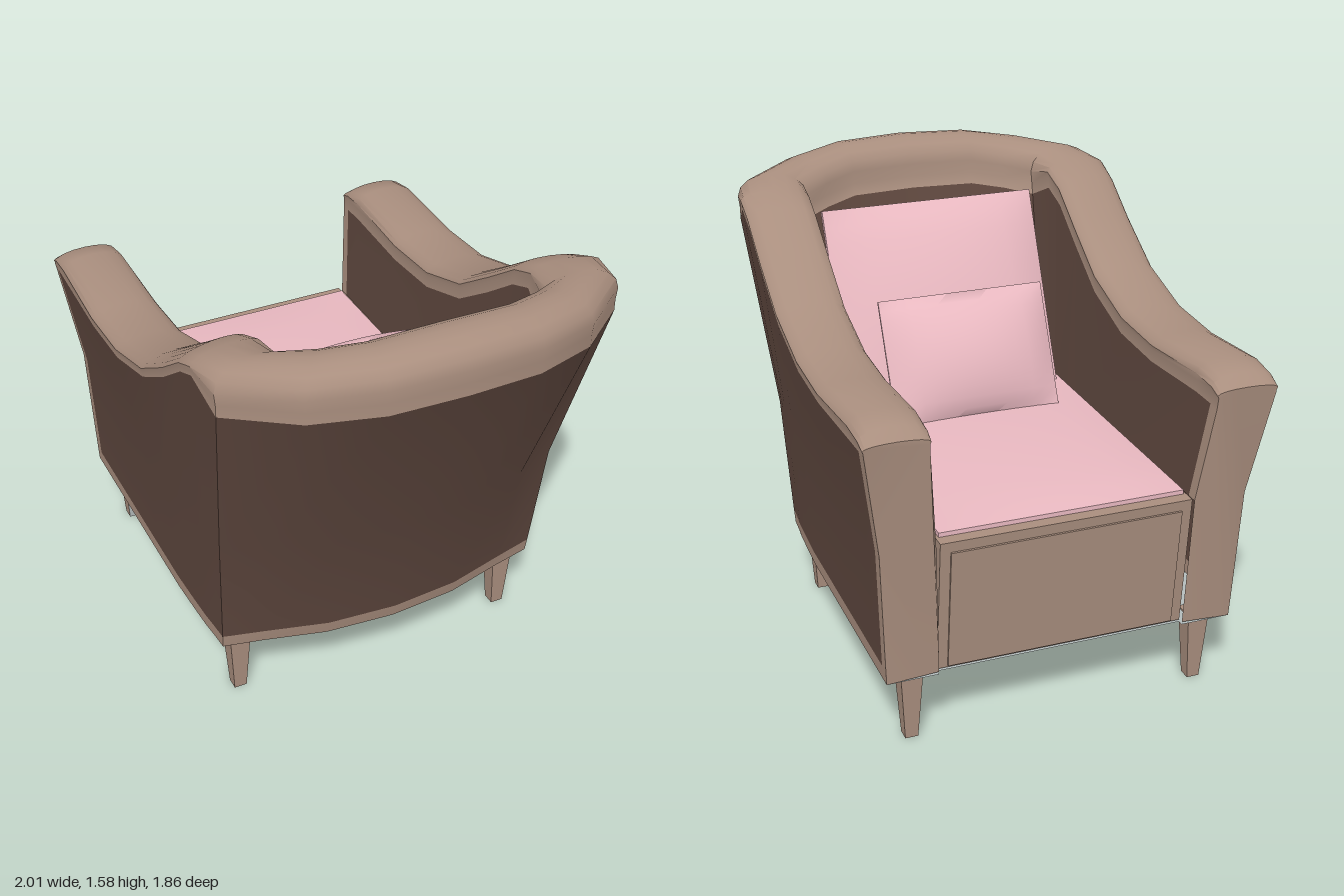
import * as THREE from 'three';
import { toCreasedNormals } from 'three/addons/utils/BufferGeometryUtils.js';

const mat = (color) => new THREE.MeshStandardMaterial({ color, side: THREE.DoubleSide });
const trim = mat(0xa98e7e), panel = mat(0x5e473e), fabric = mat(0xe8b8c0), grey = mat(0xb4bcbc);
const { lerp } = THREE.MathUtils;

// Half of the shell, from the arm front to the middle of the back:
// base x,z | top x,z | panel top, crown | inner lip x,z | inner base x,z
const half = [
  [.605, .71, .68, .785, 1.09, 1.12, .475, .785, .43, .71],
  [.605, .67, .682, .745, 1.09, 1.155, .473, .745, .43, .67],
  [.605, .58, .685, .65, 1.09, 1.175, .47, .65, .43, .58],
  [.605, .30, .69, .34, 1.08, 1.145, .465, .34, .43, .30],
  [.605, .07, .69, .10, 1.095, 1.16, .465, .10, .43, .07],
  [.605, -.12, .69, -.15, 1.17, 1.235, .465, -.13, .43, -.10],
  [.60, -.25, .69, -.35, 1.29, 1.36, .465, -.31, .425, -.22],
  [.595, -.35, .69, -.50, 1.40, 1.465, .465, -.46, .42, -.31],
  [.59, -.40, .69, -.59, 1.44, 1.505, .46, -.56, .42, -.36],
  [.585, -.47, .67, -.72, 1.37, 1.53, .44, -.67, .41, -.41],
  [.45, -.50, .47, -.89, 1.39, 1.55, .345, -.72, .33, -.45],
  [.24, -.555, .25, -.97, 1.405, 1.572, .23, -.77, .22, -.48],
  [0, -.575, 0, -.985, 1.41, 1.58, 0, -.775, 0, -.48],
];
const flip = ([bx, bz, tx, tz, p, c, ix, iz, jx, jz]) => [-bx, bz, -tx, tz, p, c, -ix, iz, -jx, jz];
const stations = [...half, ...half.slice(0, -1).reverse().map(flip)];

// One cross-section: up the outside, over the padded rim, down the inside
const ARC = 10, RIM = 3, LIP = RIM + 1 + ARC;
function section([bx, bz, tx, tz, p, c, ix, iz, jx, jz]) {
  const out = (f, y) => [lerp(bx, tx, f), y, lerp(bz, tz, f)];
  const pts = [out(0, .25), out(.03, .30), out(.25, .72), out(1, p)];
  const edge = p + .25 * (c - p), lip = p + .2 * (c - p);
  for (let k = 0; k <= ARC; k++) {
    const t = k / ARC * Math.PI, base = lerp(edge, lip, k / ARC);
    const m = (1 - Math.cos(t)) / 2 - .075 * Math.sin(2 * t);
    pts.push([lerp(tx, ix, m), base + (c - base) * Math.sin(t) ** .9, lerp(tz, iz, m)]);
  }
  const inn = (f, y) => [lerp(jx, ix, f), y, lerp(jz, iz, f)];
  pts.push(inn(.95, lip - .04), inn(.25, .72), inn(0, .26));
  return pts;
}
const shell = stations.map(section);

function add(group, name, geometry, material) {
  const mesh = new THREE.Mesh(geometry, material);
  mesh.name = name;
  group.add(mesh);
  return mesh;
}

// Skin over stations s0..s1 and section rows r0..r1
function skin(s0, s1, r0, r1) {
  const pos = [], index = [], n = r1 - r0 + 1;
  for (let i = s0; i <= s1; i++) for (let j = r0; j <= r1; j++) pos.push(...shell[i][j]);
  for (let i = 0; i < s1 - s0; i++) for (let j = 0; j < n - 1; j++) {
    const a = i * n + j, b = a + n;
    index.push(a, b, b + 1, a, b + 1, a + 1);
  }
  const g = new THREE.BufferGeometry();
  g.setAttribute('position', new THREE.Float32BufferAttribute(pos, 3));
  g.setIndex(index);
  return toCreasedNormals(g, .68);
}

// Arm fronts lean forward with height
const frontZ = (y) => y < .72 ? lerp(.71, .729, (y - .25) / .47) : lerp(.729, .785, Math.min(1, (y - .72) / .37));
function frontFace(points, side) {
  const g = new THREE.ShapeGeometry(new THREE.Shape(points.map(([x, y]) => new THREE.Vector2(x * side, y))));
  const p = g.attributes.position;
  for (let i = 0; i < p.count; i++) p.setZ(i, frontZ(p.getY(i)));
  g.computeVertexNormals();
  return g;
}

// Soft cushion: thin at the edges, full in the middle
function cushion(w, h, edge, full) {
  const g = new THREE.BoxGeometry(w, h, 1, 12, 12, 2), p = g.attributes.position;
  for (let i = 0; i < p.count; i++) {
    const a = 2 * p.getX(i) / w, b = 2 * p.getY(i) / h;
    const swell = Math.max(0, (1 - a * a) * (1 - b * b)) ** .7;
    p.setZ(i, p.getZ(i) * lerp(edge, full, swell));
  }
  g.deleteAttribute('uv');
  return toCreasedNormals(g, .8);
}

export function createModel() {
  const model = new THREE.Group();
  model.name = 'armchair';
  const last = shell.length - 1;

  // Padded rim, borders and upholstered panels
  add(model, 'paddedRim', skin(0, last, RIM, LIP + 1), trim);
  add(model, 'baseBorder', skin(0, last, 0, 1), trim);
  add(model, 'outerPanel', skin(1, last - 1, 1, RIM), panel);
  add(model, 'innerPanel', skin(1, last - 1, LIP, LIP + 2), panel);
  for (const s of [0, last - 1]) {
    add(model, 'outerFrontBorder', skin(s, s + 1, 1, RIM), trim);
    add(model, 'innerFrontBorder', skin(s, s + 1, LIP, LIP + 2), trim);
  }
  for (const side of [1, -1]) add(model, 'armFront', frontFace(shell[0], side), trim);

  // Seat box with a leaning front, and its raised front panel
  const boxGeo = new THREE.BoxGeometry(.86, .472, 1);
  const bp = boxGeo.attributes.position;
  for (let i = 0; i < bp.count; i++)
    if (bp.getZ(i) > 0) bp.setZ(i, bp.getY(i) > 0 ? .545 : .50);
  boxGeo.computeVertexNormals();
  add(model, 'seatBox', boxGeo, trim).position.set(0, .494, .19);
  const front = add(model, 'seatFrontPanel', new THREE.BoxGeometry(.79, .43, .02), trim);
  front.position.set(0, .48, .708);
  front.rotation.x = Math.atan2(.045, .472);

  // Cushions
  const seat = add(model, 'seatCushion', cushion(.84, 1.09, .16, .22), fabric);
  seat.position.set(0, .665, .145);
  seat.rotation.x = -Math.PI / 2;
  const back = add(model, 'backCushion', cushion(.80, .78, .02, .18), fabric);
  back.position.set(0, 1.04, -.45);
  back.rotation.x = -.42;
  const throwPillow = add(model, 'throwPillow', cushion(.61, .45, .01, .19), fabric);
  throwPillow.position.set(0, .955, -.165);
  throwPillow.rotation.x = -.44;

  // Underside
  const outline = [[.43, .69], [.43, .71], ...half.map(([x, z]) => [x, z])];
  const loop = [...outline, ...outline.slice(0, -1).reverse().map(([x, z]) => [-x, z])];
  const under = new THREE.ShapeGeometry(new THREE.Shape(loop.map(([x, z]) => new THREE.Vector2(x, z))));
  under.rotateX(Math.PI / 2);
  add(model, 'underside', under, grey).position.y = .25;

  // Tapered square legs; the front pair is bare on the rear face
  const legGeo = new THREE.BoxGeometry(.076, .255, .076), lp = legGeo.attributes.position;
  for (let i = 0; i < lp.count; i++)
    if (lp.getY(i) < 0) lp.setXYZ(i, lp.getX(i) * .58, lp.getY(i), lp.getZ(i) * .58);
  legGeo.computeVertexNormals();
  const bareRear = [trim, trim, trim, trim, trim, grey];
  for (const x of [.51, -.51]) {
    add(model, 'frontLeg', legGeo, bareRear).position.set(x, .1275, .64);
    add(model, 'backLeg', legGeo, trim).position.set(x, .1275, -.405);
  }

  // The chair stands turned on the floor
  model.rotation.y = -THREE.MathUtils.degToRad(114.3);
  model.position.set(-.006, 0, .012);
  const root = new THREE.Group();
  root.add(model);
  return root;
}
